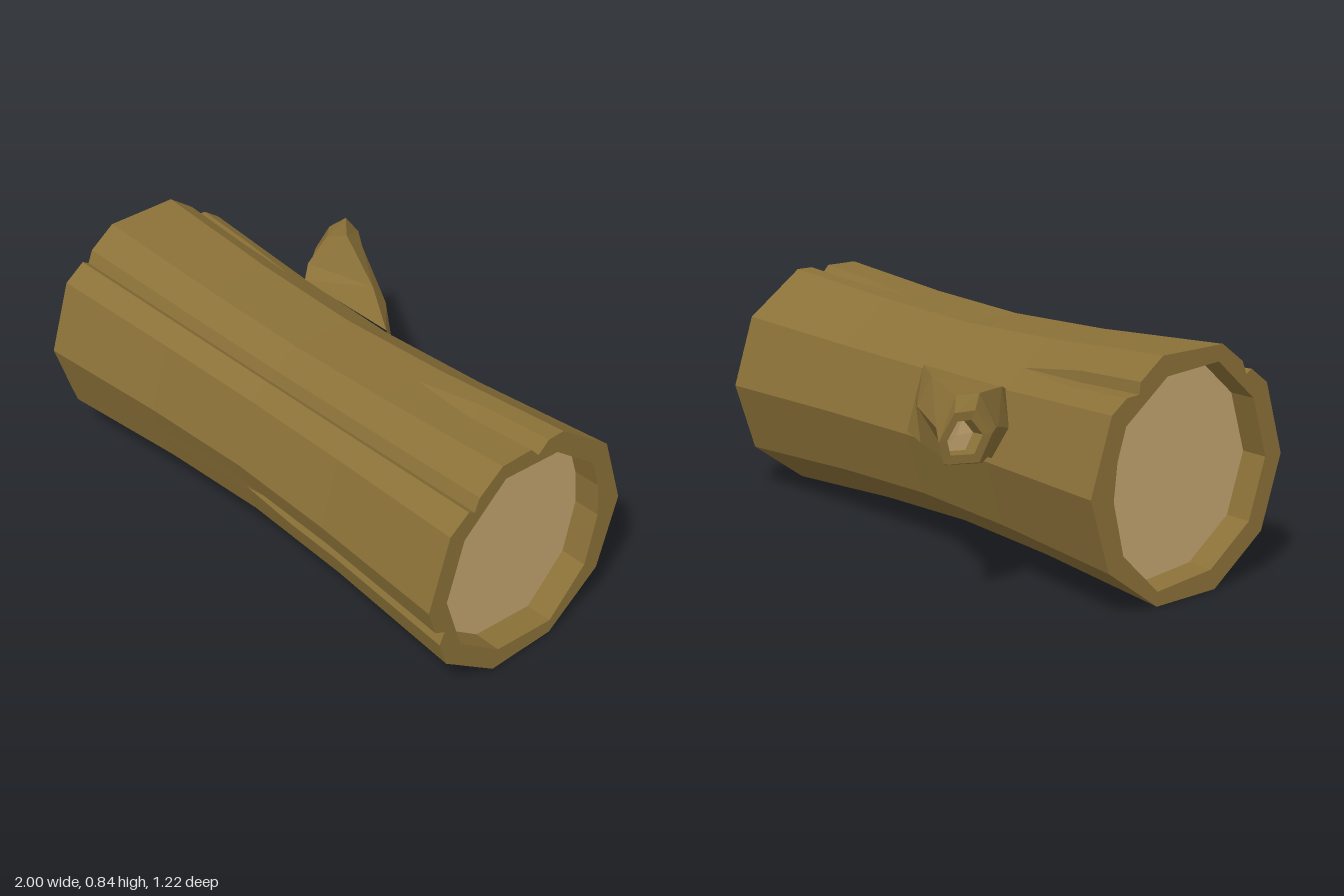
import * as THREE from 'three';

const CZ = 0.17, CY = 0.425, R = 0.443; // log axis and end radius
const clamp = THREE.MathUtils.clamp, lerp = THREE.MathUtils.lerp;

const bark = new THREE.MeshStandardMaterial({ color: 0x8b7138, flatShading: true });
const wood = new THREE.MeshStandardMaterial({ color: 0xc4a470, flatShading: true });

function mesh(name, geometry, material) {
  const m = new THREE.Mesh(geometry, material);
  m.name = name;
  return m;
}

// Joins closed rings of [x, y, z] points into a faceted skin
function loft(rings) {
  const pos = [];
  for (let k = 0; k < rings.length - 1; k++) {
    const a = rings[k], b = rings[k + 1], n = a.length;
    for (let i = 0; i < n; i++) {
      const j = (i + 1) % n;
      pos.push(...a[i], ...b[i], ...a[j], ...b[i], ...b[j], ...a[j]);
    }
  }
  const g = new THREE.BufferGeometry();
  g.setAttribute('position', new THREE.Float32BufferAttribute(pos, 3));
  g.computeVertexNormals();
  return g;
}

// Grooves: decagon edge, [z, y] of both lips and the bottom, depth along x, and whether the lips close up
const grooves = [
  { edge: 1, pts: [[0.45, 0.742], [0.425, 0.728], [0.405, 0.775]], depth: () => 1 },
  { edge: 2, pts: [[0.18, 0.846], [0.145, 0.808], [0.1, 0.846]], depth: x => (x - 0.45) / 0.26, closes: true },
  { edge: 3, pts: [[-0.065, 0.775], [-0.07, 0.735], [-0.125, 0.731]], depth: x => (-x - 0.45) / 0.26, closes: true },
  { edge: 9, pts: [[0.561, 0.263], [0.54, 0.307], [0.581, 0.327]], depth: x => x / 0.24 },
];

// Waisted radius relative to the ends
function waist(x) {
  const t = Math.abs(x);
  return t < 0.45 ? lerp(0.876, 0.912, t / 0.45) : lerp(0.912, 1, (t - 0.45) / 0.55);
}

// Cross-section of the log with its grooves
function section(x) {
  const out = [];
  for (let i = 0; i < 10; i++) {
    const a = i * Math.PI / 5;
    out.push([CZ + R * Math.cos(a), CY + R * Math.sin(a)]);
    for (const g of grooves.filter(q => q.edge === i)) {
      const d = clamp(g.depth(x), 0, 1);
      const [p, v, q] = g.pts;
      const foot = [(p[0] + q[0]) / 2, (p[1] + q[1]) / 2];
      const mix = (pt, t) => [lerp(foot[0], pt[0], t), lerp(foot[1], pt[1], t)];
      const w = g.closes ? d : 1;
      out.push(mix(p, w), mix(v, d), mix(q, w));
    }
  }
  const s = waist(x);
  return out.map(([z, y]) => [x, CY + (y - CY) * s, CZ + (z - CZ) * s]);
}

// Irregular edge of the hollowed ends, [z, y]
const hollow = [
  [0.535, 0.425], [0.465, 0.64], [0.29, 0.79], [0.055, 0.775], [-0.125, 0.64], [-0.16, 0.53],
  [-0.173, 0.4], [-0.125, 0.21], [0.035, 0.055], [0.285, 0.077], [0.465, 0.21],
];

function logEnd(side) {
  const group = new THREE.Group();
  group.name = side > 0 ? 'leftEnd' : 'rightEnd';
  const flat = pts => pts.map(([z, y]) => new THREE.Vector2(-side * z, y));
  const place = (shape, x) =>
    new THREE.ShapeGeometry(shape).rotateY(side * Math.PI / 2).translate(x, 0, 0);
  const depth = 0.1, floor = side * (1 - depth);

  const rim = new THREE.Shape(flat(section(side).map(([, y, z]) => [z, y])));
  rim.holes.push(new THREE.Path(flat(hollow)));
  group.add(mesh('barkRim', place(rim, side), bark));

  const xs = [side, floor].sort((a, b) => b - a);
  group.add(mesh('barkInnerWall', loft(xs.map(x => hollow.map(([z, y]) => [x, y, z]))), bark));
  group.add(mesh('cutWood', place(new THREE.Shape(flat(hollow)), floor), wood));
  return group;
}

// Branch stump: six-sided rings from root to tip
function branch() {
  const group = new THREE.Group();
  group.name = 'branchStump';
  const rings = [
    [[0, 0.55, -0.178], [0, 0.665, -0.14], [-0.45, 0.665, -0.15], [-0.52, 0.55, -0.195], [-0.47, 0.44, -0.225], [0, 0.437, -0.215]],
    [[-0.22, 0.59, -0.345], [-0.22, 0.685, -0.28], [-0.5, 0.69, -0.21], [-0.57, 0.58, -0.285], [-0.5, 0.46, -0.27], [-0.22, 0.46, -0.33]],
    [[-0.55, 0.612, -0.53], [-0.54, 0.702, -0.44], [-0.575, 0.707, -0.37], [-0.63, 0.6, -0.345], [-0.6, 0.48, -0.38], [-0.55, 0.478, -0.46]],
    [[-0.66, 0.6, -0.61], [-0.66, 0.685, -0.545], [-0.66, 0.68, -0.46], [-0.675, 0.6, -0.4], [-0.67, 0.51, -0.45], [-0.66, 0.525, -0.59]],
  ];
  const tip = rings[3];
  const c = [0, 1, 2].map(k => tip.reduce((s, p) => s + p[k], 0) / tip.length);
  const shrink = (t, dx) => tip.map(p => p.map((v, k) => lerp(c[k], v, t) + (k === 0 ? dx : 0)));
  const lip = shrink(0.66, 0), floor = shrink(0.6, 0.04);
  group.add(mesh('branchBark', loft([...rings, lip, floor]), bark));
  const centre = floor.map(() => [c[0] + 0.04, c[1], c[2]]);
  group.add(mesh('branchCutWood', loft([floor, centre]), wood));
  return group;
}

export function createModel() {
  const model = new THREE.Group();
  model.name = 'log';
  const stations = [-1, -0.71, -0.45, 0, 0.24, 0.45, 0.71, 1];
  model.add(mesh('trunkBark', loft(stations.map(section)), bark));
  model.add(logEnd(1), logEnd(-1), branch());
  return model;
}
